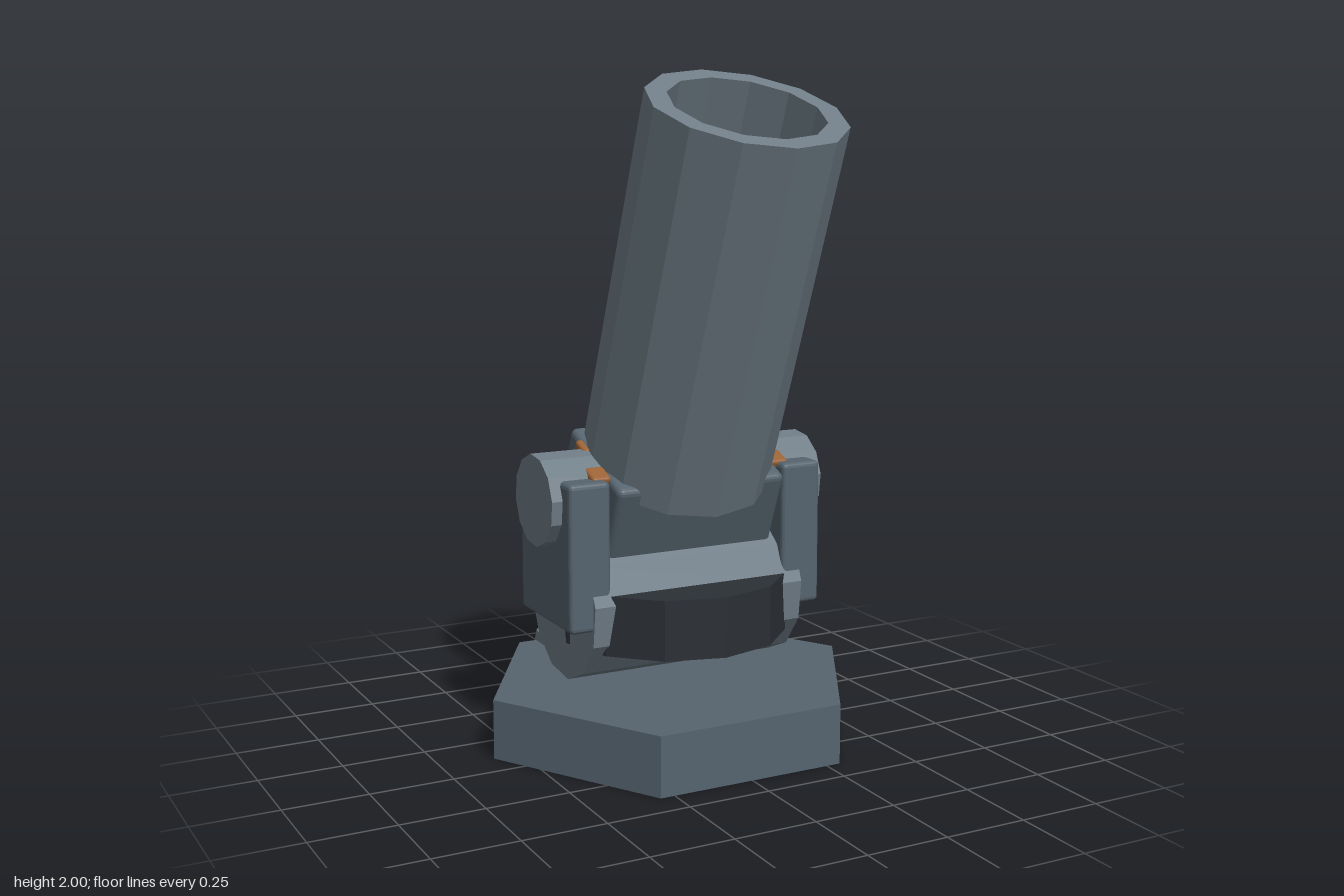
import * as THREE from 'three';
import { RoundedBoxGeometry } from 'three/addons/geometries/RoundedBoxGeometry.js';

const paint = (color) => new THREE.MeshStandardMaterial({ color, flatShading: true });
const slate = paint(0x56646f);
const steel = paint(0x6f7d87);
const charcoal = paint(0x2b3036);
const brown = paint(0x9a6236);
const green = paint(0x94b955);

function add(parent, name, geometry, material, x, y, z) {
  const mesh = new THREE.Mesh(geometry, material);
  mesh.name = name;
  mesh.position.set(x, y, z);
  parent.add(mesh);
  return mesh;
}

const block = (w, h, d, r = 0.015) => new RoundedBoxGeometry(w, h, d, 2, r);
const crossAxle = (radius, length) => new THREE.CylinderGeometry(radius, radius, length, 12).rotateZ(Math.PI / 2);

export function createModel() {
  const model = new THREE.Group();
  model.name = 'mortar';

  // Hexagonal base with points to left and right
  add(model, 'base', new THREE.CylinderGeometry(0.587, 0.587, 0.18, 6).rotateY(Math.PI / 2),
    slate, 0, 0.09, -0.1).rotation.y = Math.PI;

  // Dark turntable
  add(model, 'turntable', new THREE.CylinderGeometry(0.35, 0.35, 0.18, 12), charcoal, 0, 0.41, -0.1);

  // Side brackets carrying the trunnion
  for (const side of [-1, 1]) {
    add(model, 'bracket', block(0.13, 0.44, 0.365), slate, side * 0.352, 0.618, -0.098);
  }

  // Aiming handle on the left
  add(model, 'handle', block(0.18, 0.25, 0.115), green, 0.44, 0.705, -0.398);

  // Everything that leans forward with the barrel, measured from the trunnion
  const gun = new THREE.Group();
  gun.name = 'tiltingGun';
  gun.position.set(0, 0.765, -0.1);
  gun.rotation.x = 0.385;
  model.add(gun);

  // Hollow twelve-sided barrel with a closed floor
  const profile = [[0, 0.074], [0.285, 0.074], [0.285, 1.218], [0.223, 1.218], [0.223, 0.55], [0, 0.55]]
    .map(([r, y]) => new THREE.Vector2(r, y));
  add(gun, 'barrel', new THREE.LatheGeometry(profile, 12), steel, 0, 0, 0);

  // Breech, trunnion and lower drum
  add(gun, 'breech', block(0.55, 0.615, 0.37, 0.02), slate, 0, -0.182, 0);
  add(gun, 'trunnion', crossAxle(0.137, 0.9), steel, 0, 0, 0);
  add(gun, 'drum', crossAxle(0.235, 0.692), steel, 0, -0.314, 0.09);

  // Brown straps between breech and brackets
  for (const side of [-1, 1]) {
    add(gun, 'frontStrap', block(0.06, 0.23, 0.07, 0.01), brown, side * 0.296, 0.012, 0.075);
    add(gun, 'rearStrap', block(0.025, 0.23, 0.07, 0.01), brown, side * 0.278, 0.012, -0.075);
  }

  // Cooling slats down the back
  for (let i = 0; i < 4; i++) {
    add(gun, 'slat', new THREE.BoxGeometry(0.47, 0.06, 0.226), steel, 0, -0.725 + i * 0.12, -0.148);
  }

  return model;
}
